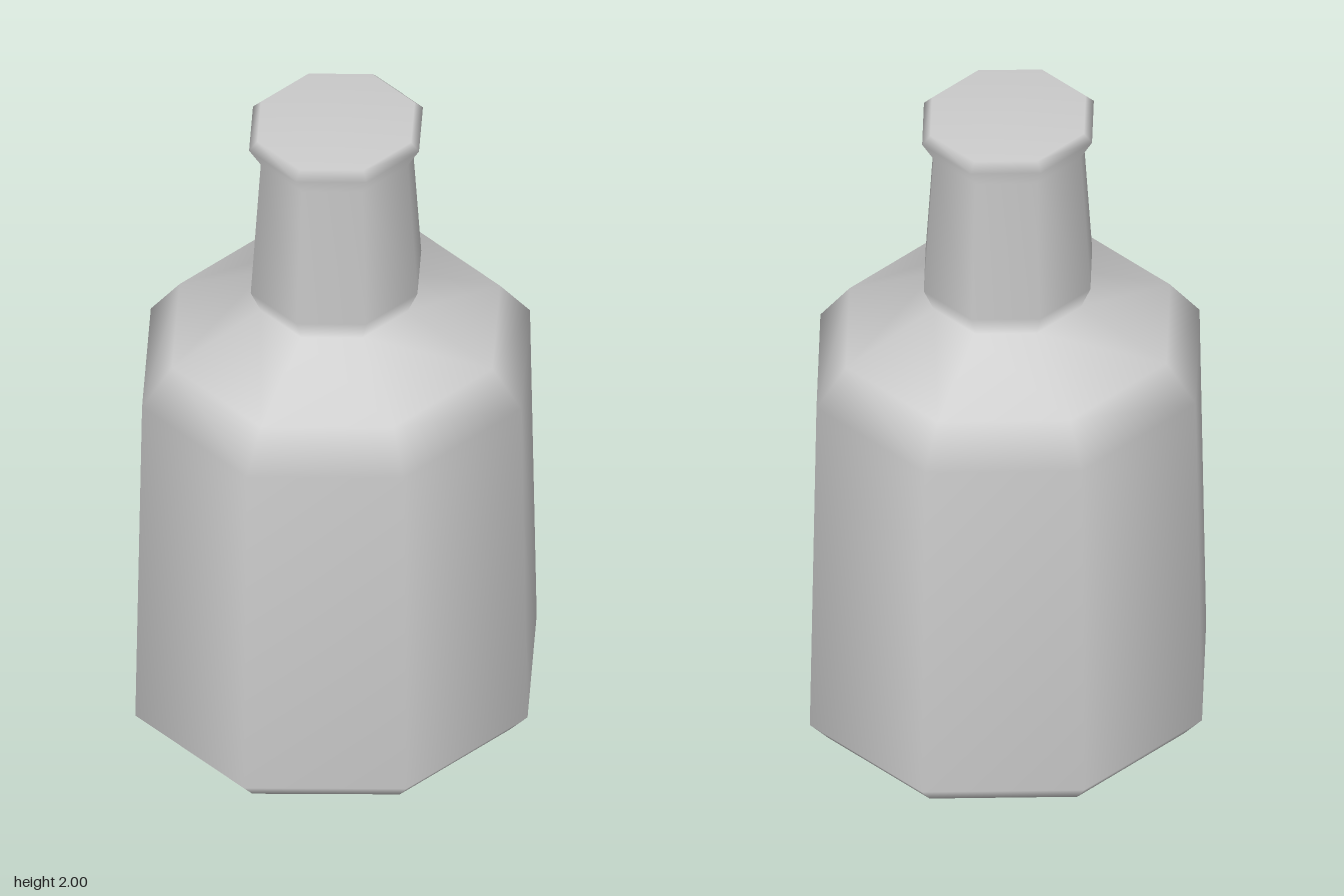
import * as THREE from 'three';

const SIDES = 8;
const DEPTH_RATIO = 1.067; // slightly deeper than wide

// Radius and height, from the centre of the base to the centre of the top
const PROFILE = [
  // base and chamfer
  [0, 0], [0.545, 0], [0.6, 0.06],
  // tapered body and sloping shoulder
  [0.58, 1.155], [0.49, 1.27], [0.225, 1.395],
  // flared neck
  [0.255, 1.465], [0.225, 1.915],
  // lip and closed top
  [0.26, 1.975], [0.235, 2], [0, 2],
];

export function createModel() {
  const group = new THREE.Group();
  group.name = 'bottle';

  // Eight-sided bottle with smooth normals, corners on the x and z axes
  const points = PROFILE.map(([r, y]) => new THREE.Vector2(r, y));
  const geometry = new THREE.LatheGeometry(points, SIDES);
  geometry.scale(1, 1, DEPTH_RATIO);

  const bottle = new THREE.Mesh(geometry, new THREE.MeshStandardMaterial({ color: 0xcccccc }));
  bottle.name = 'bottleBody';
  group.add(bottle);
  return group;
}
